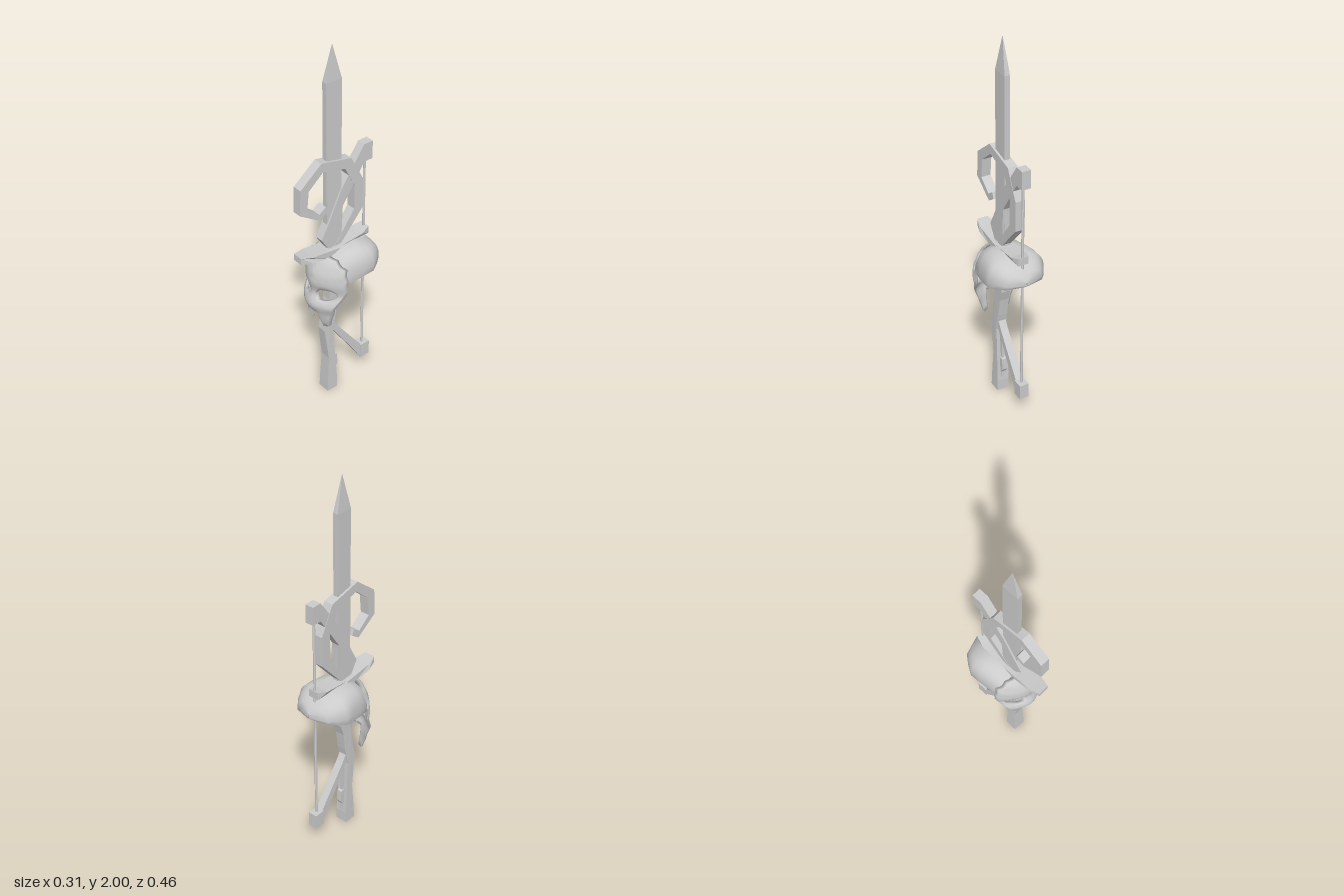
import * as THREE from 'three';
import { mergeGeometries, mergeVertices } from 'three/addons/utils/BufferGeometryUtils.js';

const hard = new THREE.MeshStandardMaterial({ color: 0xcccccc, flatShading: true });
const smooth = new THREE.MeshStandardMaterial({ color: 0xcccccc, side: THREE.DoubleSide });

// Side profile given as [z, y] points, extruded across x; widthAt(y, z) tapers it
function slab(name, profile, halfWidth, widthAt) {
  const shape = new THREE.Shape(profile.map(([z, y]) => new THREE.Vector2(z, y)));
  const geo = new THREE.ExtrudeGeometry(shape, { depth: 2 * halfWidth, bevelEnabled: false });
  geo.translate(0, 0, -halfWidth).rotateY(-Math.PI / 2);
  if (widthAt) {
    const p = geo.attributes.position;
    for (let i = 0; i < p.count; i++) p.setX(i, Math.sign(p.getX(i)) * widthAt(p.getY(i), p.getZ(i)));
    geo.computeVertexNormals();
  }
  const mesh = new THREE.Mesh(geo, hard);
  mesh.name = name;
  return mesh;
}

// Skin over rows of closed point loops; faces lying on the middle plane are skipped
function skin(rows, wrapRows) {
  const m = rows[0].length, index = [], flat = rows.flat();
  const add = (...t) => { if (t.some(i => Math.abs(flat[i][0]) > 1e-4)) index.push(...t); };
  for (let r = 0; r < rows.length - (wrapRows ? 0 : 1); r++) {
    const r2 = (r + 1) % rows.length;
    for (let j = 0; j < m; j++) {
      const k = (j + 1) % m;
      add(r * m + j, r2 * m + j, r2 * m + k);
      add(r * m + j, r2 * m + k, r * m + k);
    }
  }
  const geo = new THREE.BufferGeometry();
  geo.setAttribute('position', new THREE.Float32BufferAttribute(flat.flat(), 3));
  geo.setIndex(index);
  return geo;
}

function smoothMesh(name, geometries) {
  const geo = mergeVertices(mergeGeometries(geometries), 1e-5);
  geo.computeVertexNormals();
  const mesh = new THREE.Mesh(geo, smooth);
  mesh.name = name;
  return mesh;
}

// Eased lookup in a list of [key, value] pairs
function lookup(table, key) {
  for (let i = 1; i < table.length; i++) {
    const [a, va] = table[i - 1], [b, vb] = table[i];
    if (key <= b) return va + (vb - va) * THREE.MathUtils.smoothstep(key, a, b);
  }
  return table[table.length - 1][1];
}

// Curved face mask: each half is rings spreading from the eye hole to the outline
function makeMask() {
  const outline = [[0, 0.575], [0.034, 0.575], [0.045, 0.478], [0.07, 0.478], [0.092, 0.55], [0.112, 0.61],
    [0.126, 0.65], [0.145, 0.71], [0.148, 0.78], [0.132, 0.84], [0.085, 0.88], [0, 0.895], [0, 0.78], [0, 0.68]];
  const ridge = [[0.47, 0.122], [0.55, 0.142], [0.62, 0.166], [0.69, 0.147], [0.75, 0.154], [0.8, 0.148],
    [0.85, 0.125], [0.9, 0.085]];
  const eye = [0.068, 0.687];
  const depth = (x, y) => {
    const d = ((x - eye[0]) / 0.06) ** 2 + ((y - eye[1]) / 0.045) ** 2;
    return lookup(ridge, y) - 0.098 * (x / 0.148) ** 1.9 - 0.012 * Math.exp(-d);
  };
  const rows = [], rings = 7, steps = 7;
  outline.forEach(([x0, y0], i) => {
    const [x1, y1] = outline[(i + 1) % outline.length];
    for (let s = 0; s < steps; s++) {
      const x = x0 + (x1 - x0) * s / steps, y = y0 + (y1 - y0) * s / steps;
      const a = Math.atan2(y - eye[1], x - eye[0]);
      const ex = eye[0] + 0.047 * Math.cos(a);
      const ey = eye[1] + 0.033 * Math.sin(a) + 0.006 * Math.cos(a);
      const front = [], back = [];
      for (let k = 0; k <= rings; k++) {
        const px = Math.max(0, ex + (x - ex) * k / rings);
        const py = ey + (y - ey) * k / rings, pz = depth(px, py);
        front.push([px, py, pz]);
        back.unshift([px, py, pz - 0.018]);
      }
      rows.push([...front, ...back]);
    }
  });
  const mirrored = rows.map(row => row.map(([x, y, z]) => [-x, y, z])).reverse();
  return smoothMesh('mask', [skin(rows, true), skin(mirrored, true)]);
}

// Hollow head cap: arches from front to back, with an inner wall and a closed rim
function makeCap() {
  const sections = [ // z, half width, rim height, crown height
    [0.055, 0.127, 0.745, 0.887], [0.0, 0.139, 0.755, 0.912], [-0.07, 0.149, 0.768, 0.919],
    [-0.12, 0.154, 0.777, 0.91], [-0.165, 0.127, 0.787, 0.893], [-0.2, 0.099, 0.793, 0.865],
    [-0.216, 0.05, 0.797, 0.842], [-0.229, 0.004, 0.8, 0.825]];
  const rows = [], n = 28, soft = v => Math.sign(v) * Math.abs(v) ** 0.68;
  for (let i = 0; i <= n; i++) {
    const a = Math.PI * i / n, c = soft(Math.cos(a)), s = soft(Math.max(0, Math.sin(a)));
    const outer = sections.map(([z, w, lo, hi]) => [w * c, lo + (hi - lo) * s, z]);
    const inner = sections.map(([z, w, lo, hi]) =>
      [Math.max(0.002, w - 0.014) * c, lo + (hi - lo - 0.014) * s, z > 0 ? z : z + 0.012]);
    rows.push([...outer, ...inner.reverse()]);
  }
  const seam = row => row.map((p, j) => p.map((v, k) => (v + row[row.length - 1 - j][k]) / 2));
  return smoothMesh('headCap', [skin([seam(rows[0]), ...rows, seam(rows[n])], false)]);
}

export function createModel() {
  const model = new THREE.Group();

  // Handle, flared toward the foot
  model.add(slab('handle', [[0.077, 0], [0.074, 0.06], [0.064, 0.22], [0.088, 0.41], [0.073, 0.49], [0.055, 0.6],
    [0.052, 0.92], [-0.018, 0.92], [-0.018, 0.64], [0.0, 0.58], [0.014, 0.48], [0.034, 0.38], [0.022, 0.22],
    [0.012, 0.06], [0.012, 0]], 0.03, y => 0.025 + 0.009 * Math.max(0, 1 - y / 0.45)));

  // Trigger strip on the back of the handle
  model.add(slab('triggerRail', [[0.03, 0.36], [0.012, 0.34], [0.01, 0.08], [0.03, 0.08]], 0.008));
  model.add(slab('trigger', [[0.03, 0.21], [-0.003, 0.205], [-0.006, 0.14], [0.006, 0.12], [0.03, 0.12]], 0.014));

  // Blade: rectangular bar ending in a pyramid
  const blade = new THREE.Group();
  blade.name = 'blade';
  const bar = new THREE.Mesh(new THREE.BoxGeometry(0.028, 0.92, 0.09), hard);
  bar.position.set(0, 1.36, 0.016);
  const tipGeo = new THREE.ConeGeometry(Math.SQRT1_2, 0.18, 4).rotateY(Math.PI / 4).scale(0.028, 1, 0.09);
  const tip = new THREE.Mesh(tipGeo, hard);
  tip.position.set(0, 1.91, 0.016);
  bar.name = 'bladeBar';
  tip.name = 'bladeTip';
  blade.add(bar, tip);
  model.add(blade);

  // Crescent guard, narrowing at both ends
  model.add(slab('guard', [[0.23, 0.94], [0.17, 0.93], [0.07, 0.918], [0, 0.918], [-0.1, 0.926], [-0.14, 0.93],
    [-0.192, 0.943], [-0.192, 0.902], [-0.1, 0.9], [0, 0.885], [0.07, 0.88], [0.17, 0.895], [0.23, 0.905]], 0.044,
    (y, z) => z > 0.2 || z < -0.16 ? 0.028 : 0.044));

  // Curled hook wrapping across the blade
  model.add(slab('curledHook', [[0.11, 1.108], [0.23, 1.188], [0.224, 1.325], [0.1, 1.424], [-0.08, 1.382],
    [-0.155, 1.235], [-0.155, 1.075], [-0.02, 0.92], [0.02, 0.92], [-0.1, 1.085], [-0.1, 1.22], [-0.042, 1.338],
    [0.09, 1.374], [0.176, 1.302], [0.186, 1.2], [0.115, 1.145], [0.075, 1.172], [0.063, 1.14]], 0.025));

  // Upper and lower bow limbs with their end blocks
  model.add(slab('upperLimb', [[0.06, 0.92], [0.1, 0.985], [0.065, 1.05], [0.03, 1.12], [-0.025, 1.235],
    [-0.16, 1.425], [-0.212, 1.425], [-0.212, 1.328], [-0.16, 1.328], [-0.03, 1.13], [-0.02, 0.92]], 0.023));
  model.add(slab('lowerLimb', [[0.036, 0.46], [0.0, 0.4], [-0.16, 0.183], [-0.16, 0.1], [0.03, 0.39]], 0.02));
  model.add(slab('lowerLimbBlock', [[-0.155, 0.183], [-0.212, 0.183], [-0.212, 0.1], [-0.155, 0.1]], 0.025));

  // Bowstring
  const string = new THREE.Mesh(new THREE.CylinderGeometry(0.007, 0.007, 1.17, 6), hard);
  string.name = 'bowstring';
  string.position.set(0, 0.755, -0.182);
  model.add(string);

  model.add(makeMask(), makeCap());
  return model;
}
